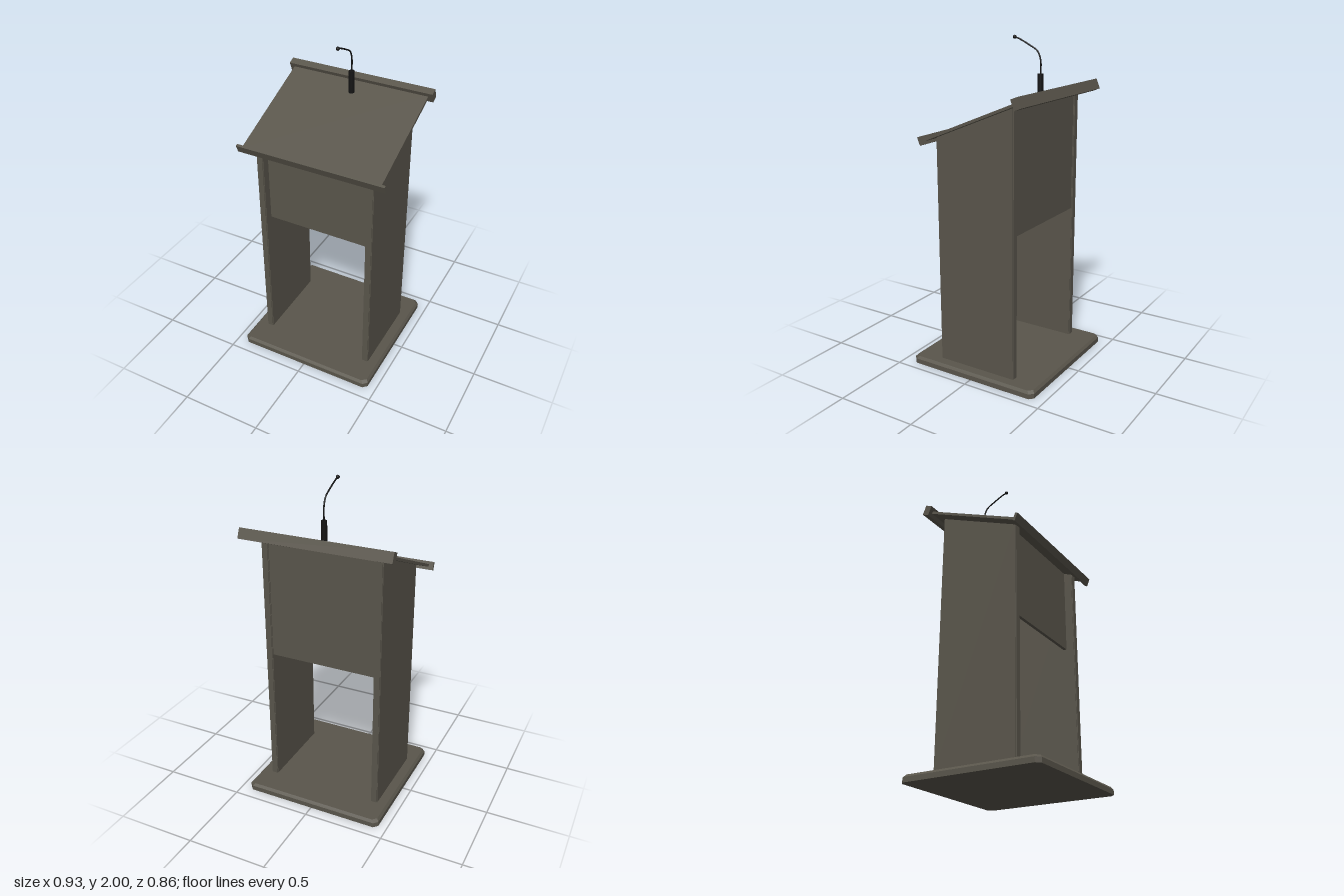
import * as THREE from 'three';

export function createModel() {
  const model = new THREE.Group();
  const wood = new THREE.MeshStandardMaterial({ color: 0x59554b });
  const black = new THREE.MeshStandardMaterial({ color: 0x141414 });

  const add = (name, geometry, material = wood) => {
    const mesh = new THREE.Mesh(geometry, material);
    mesh.name = name;
    model.add(mesh);
    return mesh;
  };

  // Slope of the reading desk: centre line height at a given z
  const front = { z: 0.308, y: 1.425 };
  const back = { z: -0.328, y: 1.687 };
  const slope = (back.y - front.y) / (front.z - back.z);
  const angle = Math.atan(slope);
  const deskY = (z) => front.y + (front.z - z) * slope;

  // Rectangle with cut corners
  const cutRect = (w, h, c) => new THREE.Shape([
    [-w + c, -h], [w - c, -h], [w, -h + c], [w, h - c],
    [w - c, h], [-w + c, h], [-w, h - c], [-w, -h + c],
  ].map(([x, y]) => new THREE.Vector2(x, y)));

  // Base plate, vertical rim with a bevel up to a smaller top face
  const rim = new THREE.ExtrudeGeometry(cutRect(0.445, 0.43, 0.025), { depth: 0.03, bevelEnabled: false });
  rim.rotateX(-Math.PI / 2);
  add('basePlate', rim);
  const bevel = new THREE.ExtrudeGeometry(cutRect(0.445, 0.43, 0.025), { depth: 0.015, bevelEnabled: false });
  bevel.rotateX(-Math.PI / 2).translate(0, 0.03, 0);
  const p = bevel.attributes.position;
  for (let i = 0; i < p.count; i++) {
    if (p.getY(i) > 0.04) {
      p.setX(i, p.getX(i) * 0.97);
      p.setZ(i, p.getZ(i) * 0.97);
    }
  }
  bevel.computeVertexNormals();
  add('baseBevel', bevel);

  // Upright panel seen from the side, its top cut along the desk slope
  const uprightShape = (z0, z1, y0) => new THREE.Shape([
    new THREE.Vector2(z0, y0), new THREE.Vector2(z1, y0),
    new THREE.Vector2(z1, deskY(z1) - 0.006), new THREE.Vector2(z0, deskY(z0) - 0.006),
  ]);
  const upright = (z0, z1, y0, x0, width) => {
    const g = new THREE.ExtrudeGeometry(uprightShape(z0, z1, y0), { depth: width, bevelEnabled: false });
    g.rotateY(-Math.PI / 2); // profile x becomes z, depth becomes -x
    return g.translate(x0 + width, 0, 0);
  };

  // Side panels with a slim bevel strip on each vertical edge
  for (const s of [-1, 1]) {
    const side = s > 0 ? 'left' : 'right';
    add(side + 'SidePanel', upright(-0.255, 0.255, 0.04, s * 0.3525 - 0.0215, 0.043));
    for (const e of [-1, 1]) {
      const z0 = e > 0 ? 0.255 : -0.26;
      add(side + 'PanelEdge', upright(z0, z0 + 0.005, 0.04, s * 0.3525 - 0.0175, 0.035));
    }
  }

  // Front and back cross panels between the sides
  add('frontPanel', upright(0.185, 0.205, 0.918, -0.333, 0.666));
  add('backPanel', upright(-0.25, -0.23, 0.918, -0.333, 0.666));

  // Sloped reading board with its two rails
  const sloped = (name, w, h, d, z, y) => {
    const mesh = add(name, new THREE.BoxGeometry(w, h, d));
    mesh.position.set(0, y, z);
    mesh.rotation.x = angle;
  };
  const length = Math.hypot(front.z - back.z, back.y - front.y);
  sloped('readingBoard', 0.872, 0.016, length, (front.z + back.z) / 2, (front.y + back.y) / 2);
  sloped('frontLip', 0.928, 0.05, 0.016, front.z, front.y);
  sloped('backRail', 0.928, 0.063, 0.045, back.z, back.y);

  // Gooseneck microphone
  const micZ = -0.208;
  add('microphoneBase', new THREE.CylinderGeometry(0.017, 0.017, 0.135, 24), black).position.set(0, 1.7225, micZ);
  const neck = new THREE.CatmullRomCurve3([
    [1.78, micZ], [1.865, micZ], [1.915, -0.187], [1.947, -0.135], [1.982, -0.06], [1.988, -0.036],
  ].map(([y, z]) => new THREE.Vector3(0, y, z)));
  add('gooseneck', new THREE.TubeGeometry(neck, 40, 0.0045, 10), black);
  const head = add('microphoneHead', new THREE.SphereGeometry(0.011, 20, 14), black);
  head.position.set(0, 1.989, -0.036);

  return model;
}
